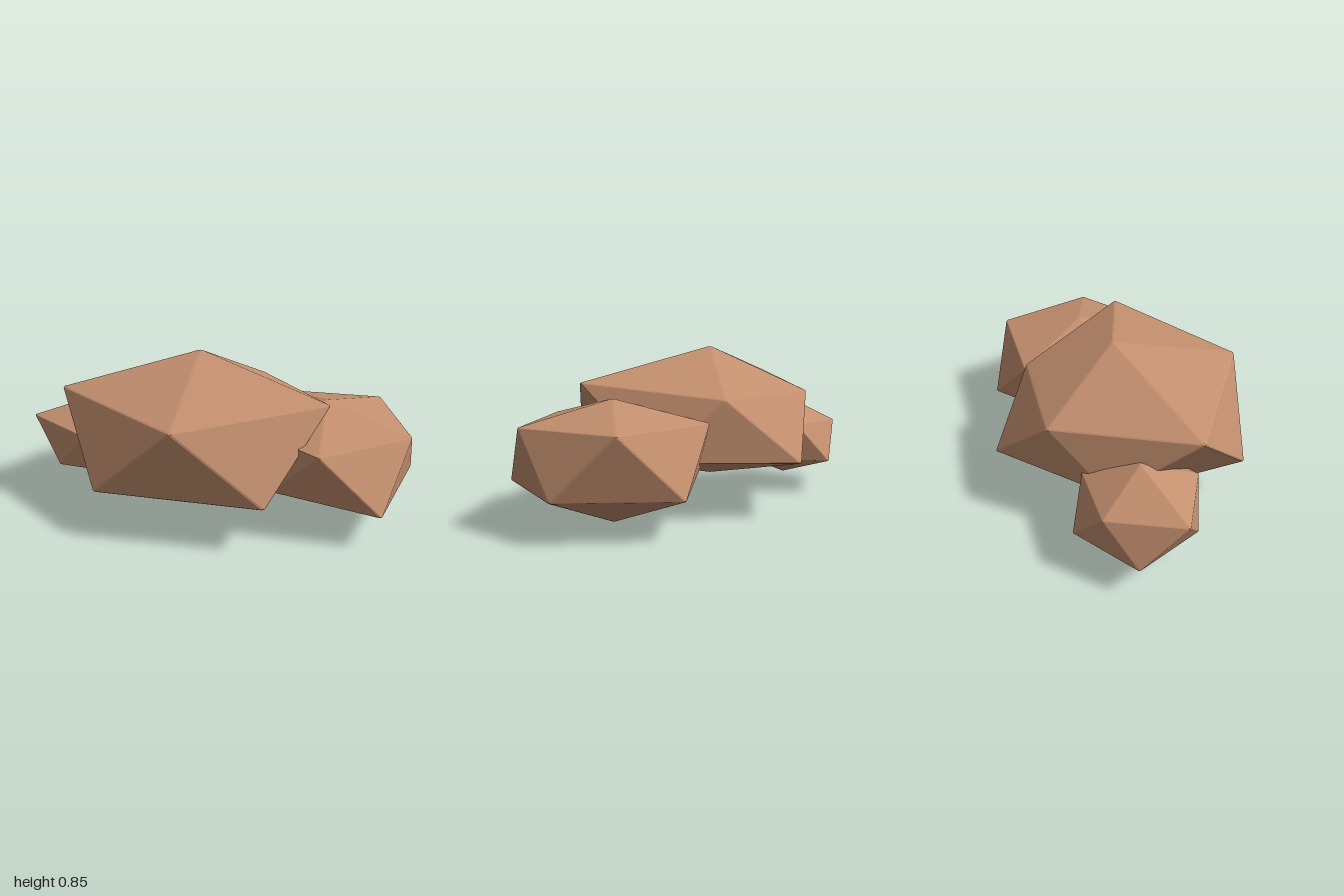
import * as THREE from 'three';
import { ConvexGeometry } from 'three/addons/geometries/ConvexGeometry.js';

const stone = new THREE.MeshStandardMaterial({ color: 0xc4906f });
stone.name = 'warmStone';

// Twenty-sided boulder with softly chamfered edges.
// upper radii sit at 0, 72, 144... degrees; lower radii at 36, 108, 180... degrees (x towards z).
function boulder(name, { center, top, bottom, slope, upper, lower, inset = 0.028 }) {
  const [cx, cy, cz] = center;
  const ring = (radii, start, sign) => radii.map((r, i) => {
    const a = THREE.MathUtils.degToRad(start + 72 * i);
    return new THREE.Vector3(cx + r * Math.cos(a), cy + sign * slope * r, cz + r * Math.sin(a));
  });
  const u = ring(upper, 0, 1);
  const l = ring(lower, 36, -1);
  const apex = new THREE.Vector3(cx, top, cz);
  const base = new THREE.Vector3(cx, bottom, cz);

  // Pull every face's corners slightly inward; the hull fills the gaps as chamfers
  const points = [];
  for (let i = 0; i < 5; i++) {
    const j = (i + 1) % 5;
    const faces = [
      [apex, u[i], u[j]], [u[i], u[j], l[i]],
      [l[i], l[j], u[j]], [base, l[i], l[j]],
    ];
    for (const face of faces) {
      const mid = new THREE.Vector3();
      face.forEach((p) => mid.addScaledVector(p, 1 / 3));
      face.forEach((p) => points.push(p.clone().lerp(mid, inset)));
    }
  }
  const mesh = new THREE.Mesh(new ConvexGeometry(points), stone);
  mesh.name = name;
  return mesh;
}

export function createModel() {
  const group = new THREE.Group();
  group.name = 'rockCluster';

  group.add(boulder('mainBoulder', {
    center: [-0.1, 0.47, 0.01], top: 0.85, bottom: 0.15, slope: 0.28,
    upper: [0.74, 0.68, 0.73, 0.52, 0.49],
    lower: [0.74, 0.725, 0.55, 0.64, 0.6],
  }));
  group.add(boulder('leftBoulder', {
    center: [0.54, 0.357, -0.2], top: 0.615, bottom: -0.004, slope: 0.31,
    upper: [0.465, 0.48, 0.47, 0.48, 0.48],
    lower: [0.54, 0.42, 0.47, 0.525, 0.5],
  }));
  group.add(boulder('rightBoulder', {
    center: [-0.67, 0.302, 0.15], top: 0.54, bottom: 0.078, slope: 0.345,
    upper: [0.3, 0.3, 0.375, 0.29, 0.295],
    lower: [0.325, 0.3, 0.335, 0.335, 0.3],
  }));

  return group;
}
